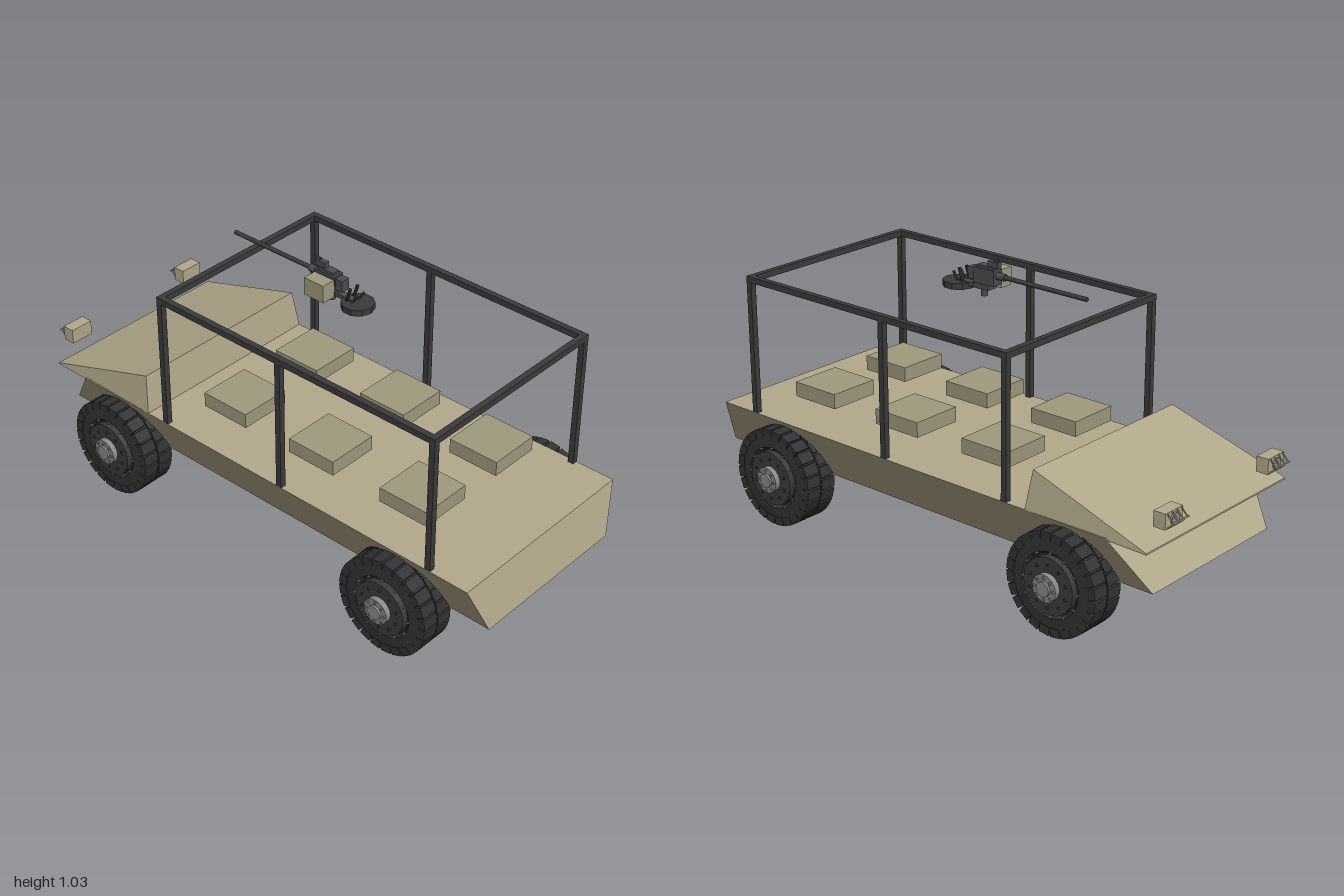
import * as THREE from 'three';

const mat = (color) => new THREE.MeshStandardMaterial({ color, flatShading: true });
const tan = mat(0xb3a98c), cushion = mat(0xa09a7e), rubber = mat(0x333335);
const steel = mat(0x3b3b3d), gunMetal = mat(0x4b4d50), hubGrey = mat(0x8a8a8a);

function add(parent, name, geometry, material, x = 0, y = 0, z = 0) {
  const mesh = new THREE.Mesh(geometry, material);
  mesh.name = name;
  mesh.position.set(x, y, z);
  parent.add(mesh);
  return mesh;
}

function group(parent, name, x = 0, y = 0, z = 0) {
  const g = new THREE.Group();
  g.name = name;
  g.position.set(x, y, z);
  parent.add(g);
  return g;
}

const box = (w, h, d) => new THREE.BoxGeometry(w, h, d);
const axleCylinder = (r, w, n) => new THREE.CylinderGeometry(r, r, w, n).rotateZ(-Math.PI / 2);
const barrelCylinder = (r, l, n) => new THREE.CylinderGeometry(r, r, l, n).rotateX(Math.PI / 2);

// Box whose corners are placed by a rule: corner(top, back) gives [half width, y, z]
function slantedBox(corner) {
  const geo = box(2, 2, 2), p = geo.attributes.position;
  for (let i = 0; i < p.count; i++) {
    const [hx, y, z] = corner(p.getY(i) > 0, p.getZ(i) > 0);
    p.setXYZ(i, Math.sign(p.getX(i)) * hx, y, z);
  }
  geo.computeVertexNormals();
  return geo;
}

// Bar of square section between two points along one axis
function bar(parent, name, a, b, t, material) {
  const size = a.map((v, i) => Math.abs(v - b[i]) + t);
  return add(parent, name, box(...size), material, ...a.map((v, i) => (v + b[i]) / 2));
}

// Wheel with its outer face towards +x
function makeWheel() {
  const wheel = new THREE.Group();
  wheel.name = 'wheel';
  const profile = [[0, -0.05], [0.1, -0.05], [0.115, -0.062], [0.155, -0.062], [0.172, -0.05],
    [0.172, 0.05], [0.155, 0.062], [0.115, 0.064], [0.105, 0.052], [0, 0.052]];
  const tyre = new THREE.LatheGeometry(profile.map(([r, h]) => new THREE.Vector2(r, h)), 48);
  add(wheel, 'tyre', tyre.rotateZ(-Math.PI / 2), rubber);

  // Two staggered rows of tread blocks
  const lugs = 24;
  for (const side of [-1, 1]) {
    for (let i = 0; i < lugs; i++) {
      const a = ((i + (side > 0 ? 0.5 : 0)) / lugs) * Math.PI * 2;
      const lug = add(wheel, 'treadBlock', box(0.062, 0.03, 0.039), rubber,
        side * 0.0335, Math.cos(a) * 0.166, Math.sin(a) * 0.166);
      lug.rotation.x = a;
    }
  }

  // Rim, hub and their bolts
  add(wheel, 'rim', axleCylinder(0.1, 0.03, 32), steel, 0.06);
  add(wheel, 'hub', axleCylinder(0.048, 0.03, 24), hubGrey, 0.08);
  add(wheel, 'hubCap', axleCylinder(0.026, 0.012, 20), hubGrey, 0.097);
  for (const [count, r, size, x, m] of [[12, 0.112, 0.004, 0.064, hubGrey], [8, 0.038, 0.005, 0.096, hubGrey],
    [10, 0.075, 0.005, 0.076, steel]]) {
    for (let i = 0; i < count; i++) {
      const a = (i / count) * Math.PI * 2;
      add(wheel, 'bolt', axleCylinder(size, 0.009, 6), m, x, Math.cos(a) * r, Math.sin(a) * r);
    }
  }
  return wheel;
}

function makeCage(parent) {
  const cage = group(parent, 'rollCage');
  const x = 0.38, top = 0.882, t = 0.022, zs = [0.8, 0.16, -0.38];
  for (const s of [-1, 1]) {
    for (const z of zs) bar(cage, 'cagePost', [s * x, 0.392, z], [s * x, top, z], t, steel);
    bar(cage, 'sideRail', [s * x, top, zs[0]], [s * x, top, zs[2]], t, steel);
  }
  for (const z of [zs[0], zs[2]]) bar(cage, 'crossRail', [-x, top, z], [x, top, z], t, steel);
}

function makeGun(parent) {
  const gun = group(parent, 'mountedGun');
  add(gun, 'pivotPost', new THREE.CylinderGeometry(0.012, 0.012, 0.05, 12), gunMetal, 0, 0.915, 0.045);
  add(gun, 'cradle', box(0.044, 0.018, 0.07), gunMetal, 0, 0.927, 0.045);
  add(gun, 'cradleArm', box(0.025, 0.014, 0.1), gunMetal, 0, 0.922, 0.1);
  add(gun, 'gunnerPlate', new THREE.CylinderGeometry(0.058, 0.058, 0.022, 10), steel, 0, 0.914, 0.16);
  // Receiver with tapered ends
  add(gun, 'receiver', box(0.044, 0.055, 0.09), gunMetal, 0, 0.965, 0.03);
  add(gun, 'receiverRear', box(0.034, 0.042, 0.03), gunMetal, 0, 0.965, 0.09);
  add(gun, 'receiverCover', box(0.03, 0.01, 0.07), gunMetal, 0, 0.996, 0.03);
  add(gun, 'sightBase', box(0.02, 0.02, 0.045), gunMetal, 0, 1.01, 0);
  add(gun, 'sightBlade', box(0.007, 0.02, 0.018), gunMetal, 0, 1.018, -0.012);
  add(gun, 'barrelSleeve', barrelCylinder(0.013, 0.04, 12), gunMetal, 0, 0.972, -0.03);
  add(gun, 'barrel', barrelCylinder(0.008, 0.37, 12), steel, 0, 0.972, -0.215);
  add(gun, 'ammoBox', box(0.052, 0.065, 0.085), cushion, -0.053, 0.953, 0.035);
  for (const s of [-1, 1]) {
    const grip = add(gun, 'handGrip', new THREE.CylinderGeometry(0.006, 0.006, 0.05, 8), steel, s * 0.018, 0.95, 0.135);
    grip.rotation.x = 0.3;
    const lever = add(gun, 'gripLever', box(0.007, 0.035, 0.007), steel, s * 0.018, 0.942, 0.16);
    lever.rotation.x = 0.6;
  }
}

// Boxed lamp with a bent wire guard, facing -z
function makeLamp(parent, x) {
  const lamp = group(parent, 'headlamp', x, 0.467, -0.95);
  add(lamp, 'lampHousing', box(0.09, 0.055, 0.046), tan);
  add(lamp, 'lampLens', barrelCylinder(0.02, 0.008, 16), hubGrey, 0, 0, -0.026);
  for (const dx of [-0.036, -0.013, 0.013, 0.036]) {
    for (const s of [-1, 1]) {
      const wire = add(lamp, 'guardWire', box(0.004, 0.037, 0.004), tan, dx, s * 0.0135, -0.0345);
      wire.rotation.x = s * 0.75;
    }
  }
  add(lamp, 'guardBar', box(0.086, 0.005, 0.005), tan, 0, 0, -0.0475);
}

export function createModel() {
  const model = new THREE.Group();
  model.name = 'openVehicle';

  // Hull tapering towards its floor
  add(model, 'hull', slantedBox((top, back) => top
    ? [0.39, 0.38, back ? 0.96 : -0.795]
    : [0.317, 0.205, back ? 1.0 : -0.93]), tan);

  // Wedge hood overhanging the nose
  add(model, 'hood', slantedBox((top, back) => {
    if (back) return top ? [0.372, 0.52, -0.488] : [0.39, 0.379, -0.468];
    return top ? [0.383, 0.375, -0.948] : [0.383, 0.369, -0.948];
  }), tan);

  // Three rows of paired seats
  for (const z of [0.603, 0.203, -0.197]) {
    for (const x of [-0.18, 0.18]) add(model, 'seat', box(0.197, 0.055, 0.197), cushion, x, 0.464, z);
  }

  for (const z of [0.661, -0.621]) {
    for (const s of [-1, 1]) {
      const wheel = makeWheel();
      wheel.position.set(s * 0.38, 0.182, z);
      if (s < 0) wheel.rotation.y = Math.PI;
      model.add(wheel);
    }
  }

  makeCage(model);
  makeGun(model);
  for (const x of [-0.28, 0.28]) makeLamp(model, x);
  return model;
}
